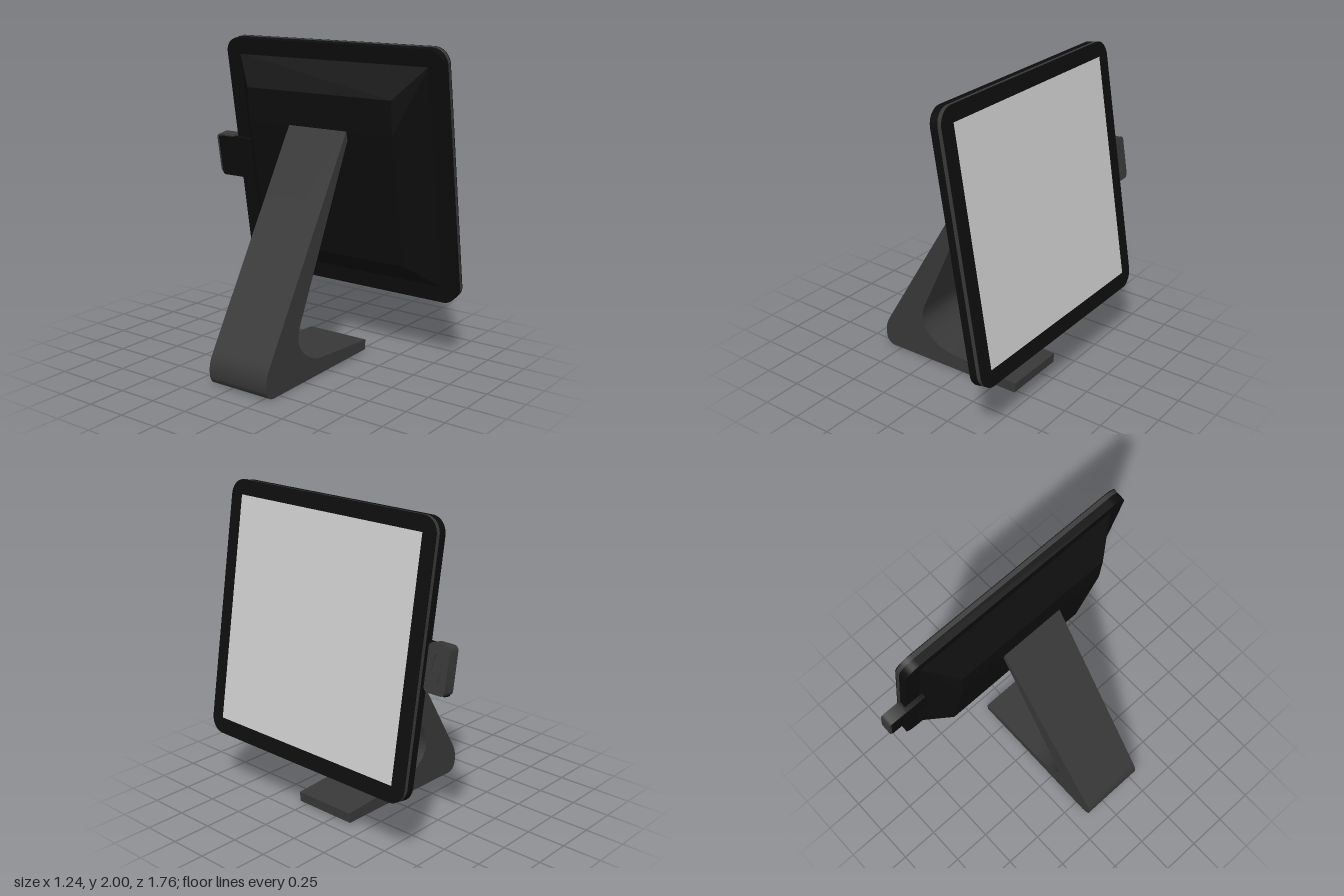
import * as THREE from 'three';
import { toCreasedNormals } from 'three/addons/utils/BufferGeometryUtils.js';
import { ConvexGeometry } from 'three/addons/geometries/ConvexGeometry.js';

const material = (color) => new THREE.MeshStandardMaterial({ color });
const black = material(0x0d0d0d);
const charcoal = material(0x383838);
const screenGrey = material(0xcccccc);

function roundedRect(cx, cy, w, h, r) {
  const s = new THREE.Shape();
  const x0 = cx - w / 2, x1 = cx + w / 2, y0 = cy - h / 2, y1 = cy + h / 2;
  s.moveTo(x0 + r, y0);
  s.lineTo(x1 - r, y0);
  s.absarc(x1 - r, y0 + r, r, -Math.PI / 2, 0);
  s.lineTo(x1, y1 - r);
  s.absarc(x1 - r, y1 - r, r, 0, Math.PI / 2);
  s.lineTo(x0 + r, y1);
  s.absarc(x0 + r, y1 - r, r, Math.PI / 2, Math.PI);
  s.lineTo(x0, y0 + r);
  s.absarc(x0 + r, y0 + r, r, Math.PI, Math.PI * 1.5);
  return s;
}

// Extrudes a shape between two depths, smooth on curves and sharp on edges
function slab(name, shape, z0, z1, mat) {
  const geo = new THREE.ExtrudeGeometry(shape, { depth: z1 - z0, bevelEnabled: false, curveSegments: 12 });
  geo.translate(0, 0, z0);
  const mesh = new THREE.Mesh(toCreasedNormals(geo, 0.5), mat);
  mesh.name = name;
  return mesh;
}

// Bent foot and leaning arm in one side profile
function createStand() {
  const s = new THREE.Shape();
  s.moveTo(0.41, 0.015);
  s.lineTo(0.415, 0.08);
  s.lineTo(-0.09, 0.11);
  s.bezierCurveTo(-0.2, 0.12, -0.31, 0.21, -0.315, 0.29);
  s.bezierCurveTo(-0.315, 0.36, -0.275, 0.42, -0.24, 0.5);
  s.lineTo(0.175, 1.41);
  s.lineTo(0.23, 1.43);
  s.lineTo(0.165, 1.475);
  s.lineTo(-0.585, 0.21);
  s.bezierCurveTo(-0.625, 0.15, -0.63, 0.1, -0.62, 0.05);
  s.quadraticCurveTo(-0.605, 0, -0.55, 0);
  return slab('stand', s, -0.14, 0.29, charcoal);
}

// Small reader on the side edge with an oval recess
function createReader() {
  const reader = new THREE.Group();
  reader.name = 'sideReader';
  const oval = (r, k) => new THREE.Path().absellipse(0.888, 0.005, r, r * k, 0, Math.PI * 2, true);
  const face = roundedRect(0.888, 0.003, 0.144, 0.28, 0.03);
  face.holes.push(oval(0.034, 2.4));
  const floor = new THREE.Shape().absellipse(0.888, 0.005, 0.031, 0.076, 0, Math.PI * 2);
  reader.add(
    slab('readerBracket', roundedRect(0.81, -0.008, 0.27, 0.28, 0.02), -0.12, -0.09, black),
    slab('readerBody', roundedRect(0.888, 0.003, 0.144, 0.28, 0.03), -0.118, -0.05, charcoal),
    slab('readerFace', face, -0.05, -0.042, charcoal),
    slab('readerPad', floor, -0.05, -0.044, charcoal)
  );
  return reader;
}

function createDisplay() {
  const display = new THREE.Group();
  display.name = 'display';
  const outline = roundedRect(0, 0, 1.61, 1.614, 0.1);
  display.add(
    slab('displayCase', outline, -0.08, -0.03, black),
    slab('displayRim', outline, -0.03, -0.005, charcoal),
    slab('bezel', outline, -0.005, 0, black)
  );

  const screen = new THREE.Mesh(new THREE.PlaneGeometry(1.426, 1.421), screenGrey);
  screen.name = 'screen';
  screen.position.set(0, 0.004, 0.002);
  display.add(screen);

  // Tapered back housing with a shallow ridge where the arm joins
  const rows = [[0.705, 0.705, -0.075], [0.533, 0.535, -0.24], [0.314, 0.535, -0.26],
    [-0.527, 0.535, -0.236], [-0.705, 0.705, -0.075]];
  const points = rows.flatMap(([y, x, z]) => [new THREE.Vector3(-x, y, z), new THREE.Vector3(x, y, z)]);
  const housing = new THREE.Mesh(new ConvexGeometry(points), black);
  housing.name = 'backHousing';
  display.add(housing, createReader());

  // Turn the display to face +x and lean it back
  display.rotation.set(-0.171, Math.PI / 2, 0, 'YXZ');
  display.position.set(0.4775, 1.205, 0.075);
  return display;
}

export function createModel() {
  const model = new THREE.Group();
  model.name = 'tabletStand';
  model.add(createStand(), createDisplay());
  return model;
}
